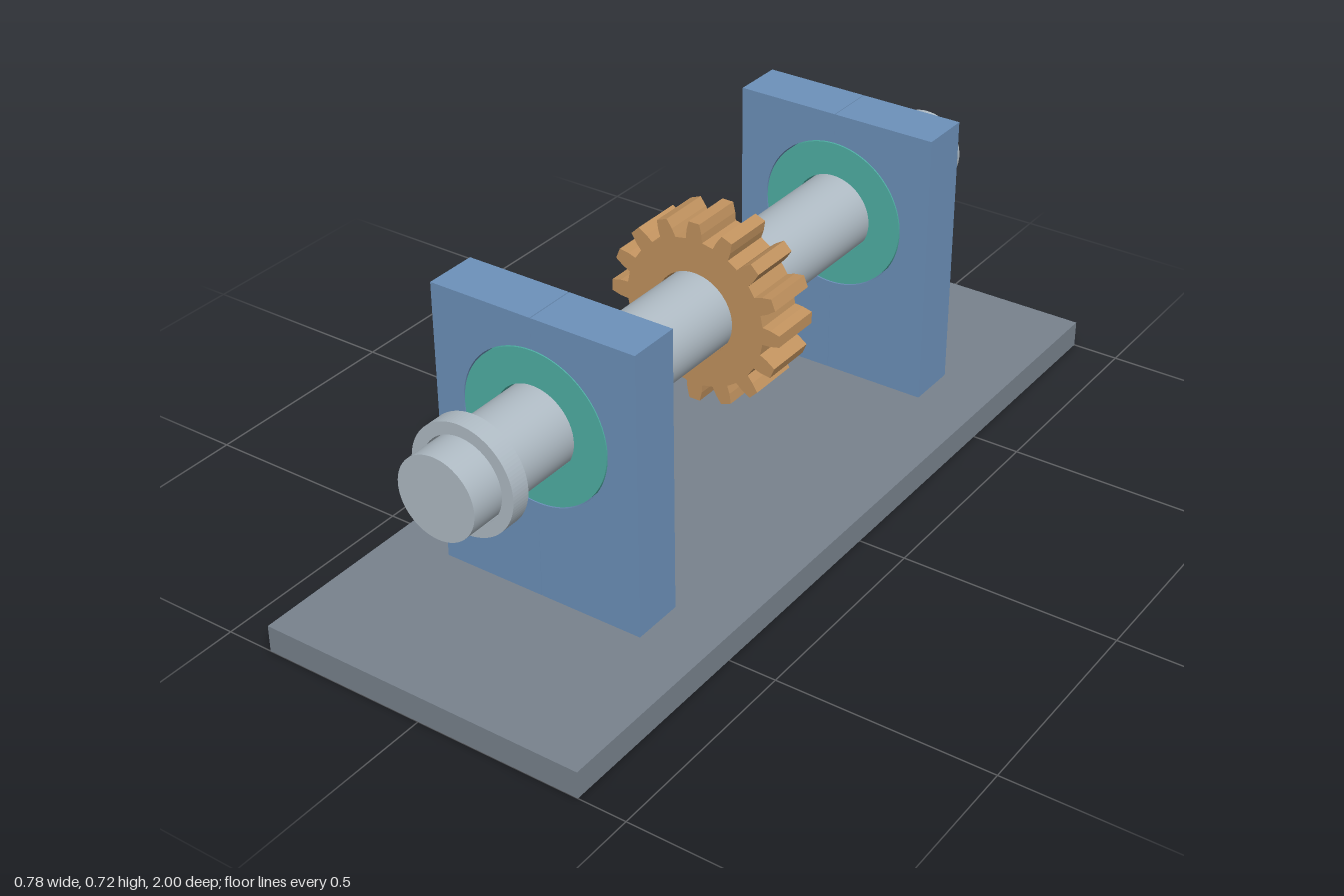
import * as THREE from 'three';

const AXIS_Y = 0.469; // height of the shaft centre line

export function createModel() {
  const mat = (name, color) => Object.assign(new THREE.MeshStandardMaterial({ color }), { name });
  const baseGrey = mat('base grey', 0x78828d);
  const blockBlue = mat('block blue', 0x6c91ba);
  const bearingTeal = mat('bearing teal', 0x4fb0a5);
  const gearBronze = mat('gear bronze', 0xc2935f);
  const shaftSteel = mat('shaft steel', 0xb0bcc5);

  const model = new THREE.Group();
  model.name = 'gearShaftStand';
  const add = (name, geometry, material, x, y, z) => {
    const mesh = new THREE.Mesh(geometry, material);
    mesh.name = name;
    mesh.position.set(x, y, z);
    model.add(mesh);
    return mesh;
  };

  // Extrude a shape along z, centred on z = 0
  const plate = (shape, depth) =>
    new THREE.ExtrudeGeometry(shape, { depth, bevelEnabled: false, curveSegments: 48 })
      .translate(0, 0, -depth / 2);
  const bore = (shape, r) => {
    shape.holes.push(new THREE.Path().absarc(0, 0, r, 0, Math.PI * 2, true));
    return shape;
  };
  const ring = (outer, inner, depth) =>
    plate(bore(new THREE.Shape().absarc(0, 0, outer, 0, Math.PI * 2, false), inner), depth);

  // Base plate
  add('basePlate', new THREE.BoxGeometry(0.778, 0.063, 2), baseGrey, 0, 0.0315, 0);

  // Shaft
  add('shaft', new THREE.CylinderGeometry(0.093, 0.093, 1.81, 64).rotateX(Math.PI / 2),
    shaftSteel, 0, AXIS_Y, 0);

  // Split bearing block: one half on each side of a hairline seam
  const bottom = 0.063 - AXIS_Y, top = 0.717 - AXIS_Y, holeR = 0.178, seam = 0.0008;
  const halfBlock = (side) => {
    const s = new THREE.Shape();
    s.moveTo(side * seam, bottom);
    s.lineTo(side * 0.247, bottom);
    s.lineTo(side * 0.247, top);
    s.lineTo(side * seam, top);
    s.lineTo(side * seam, holeR);
    s.absarc(0, 0, holeR, Math.PI / 2, -Math.PI / 2 * (side > 0 ? 1 : -3), side > 0);
    s.closePath();
    return plate(s, 0.122);
  };

  // Supports, bearings and collars at both ends
  for (const [end, dir] of [['front', 1], ['back', -1]]) {
    add(end + 'BlockLeft', halfBlock(1), blockBlue, 0, AXIS_Y, dir * 0.546);
    add(end + 'BlockRight', halfBlock(-1), blockBlue, 0, AXIS_Y, dir * 0.546);
    add(end + 'Bearing', ring(0.1755, 0.0965, 0.122), bearingTeal, 0, AXIS_Y, dir * 0.546);
    add(end + 'Collar', ring(0.124, 0.0965, 0.045), shaftSteel, 0, AXIS_Y, dir * 0.806);
  }

  // Spur gear with tapered teeth
  const teeth = 16, pitch = (Math.PI * 2) / teeth;
  const profile = [[-0.30, 0.174], [-0.25, 0.193], [-0.16, 0.215], [0.16, 0.215], [0.25, 0.193], [0.30, 0.174]];
  const points = [];
  for (let i = 0; i < teeth; i++) {
    for (const [f, r] of profile) {
      const a = Math.PI / 2 + (i + f) * pitch;
      points.push(new THREE.Vector2(Math.cos(a) * r, Math.sin(a) * r));
    }
  }
  add('gear', plate(bore(new THREE.Shape(points), 0.0965), 0.125), gearBronze, 0, AXIS_Y, 0);

  return model;
}
